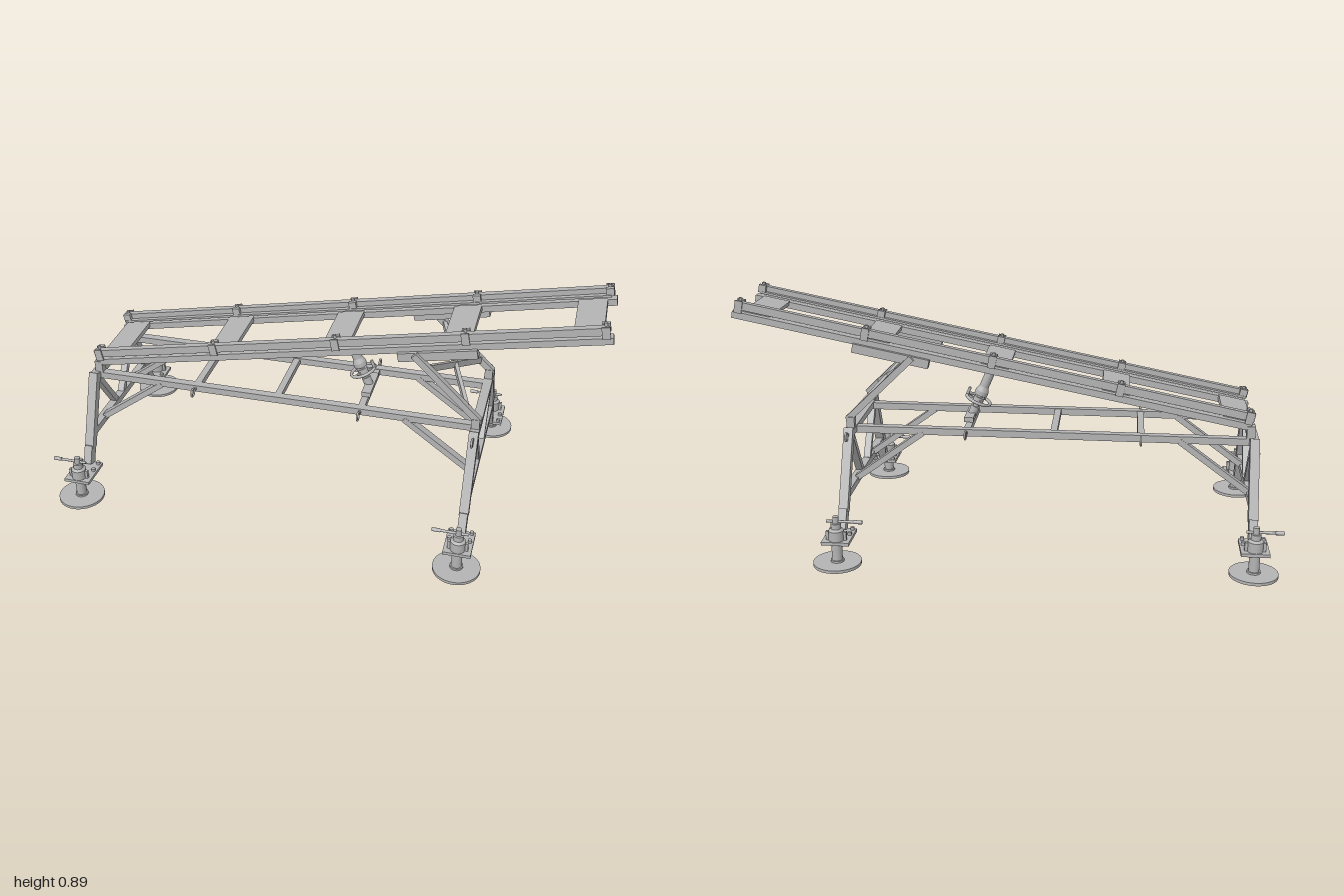
import * as THREE from 'three';

const steel = new THREE.MeshStandardMaterial({ color: 0xb4b4b4 });
steel.name = 'grey steel';

const V = (x, y, z) => new THREE.Vector3(x, y, z);

function add(parent, name, geometry, x = 0, y = 0, z = 0) {
  const mesh = new THREE.Mesh(geometry, steel);
  mesh.name = name;
  mesh.position.set(x, y, z);
  parent.add(mesh);
  return mesh;
}

const box = (parent, name, w, h, d, x, y, z) => add(parent, name, new THREE.BoxGeometry(w, h, d), x, y, z);

// Square bar from a to b: w is its horizontal width, h its other thickness
function beam(parent, name, a, b, w, h = w) {
  const d = b.clone().sub(a);
  const mesh = add(parent, name, new THREE.BoxGeometry(w, h, d.length()));
  d.normalize();
  const side = d.clone().cross(V(0, 1, 0)).normalize();
  const normal = d.clone().cross(side);
  mesh.quaternion.setFromRotationMatrix(new THREE.Matrix4().makeBasis(side, normal, d));
  mesh.position.copy(a).add(b).multiplyScalar(0.5);
  return mesh;
}

// Upright cylinder between two heights
function post(parent, name, r, y0, y1, sides = 24, rTop = r) {
  return add(parent, name, new THREE.CylinderGeometry(rTop, r, y1 - y0, sides), 0, (y0 + y1) / 2, 0);
}

// Levelling foot with screw, sleeve and turning handle; s is the side of the model
function foot(parent, x, z, s) {
  const g = new THREE.Group();
  g.name = 'levellingFoot';
  g.position.set(x, 0, z * s);
  post(g, 'footDisc', 0.086, 0, 0.011, 40);
  post(g, 'footCollar', 0.024, 0.011, 0.018);
  post(g, 'footScrew', 0.019, 0.018, 0.09);
  box(g, 'footPlate', 0.1, 0.012, 0.13, 0, 0.087, -0.036 * s);
  post(g, 'sleeve', 0.0275, 0.093, 0.13);
  post(g, 'sleeveShoulder', 0.0275, 0.13, 0.137, 24, 0.018);
  post(g, 'sleeveNeck', 0.018, 0.137, 0.157);
  post(g, 'screwHead', 0.011, 0.157, 0.182, 12);
  for (const i of [-1, 1]) {
    box(g, 'sleeveLug', 0.014, 0.032, 0.012, i * 0.03, 0.109, 0);
    for (const k of [-0.045, -0.09])
      add(g, 'plateBolt', new THREE.CylinderGeometry(0.008, 0.008, 0.012, 6), i * 0.037, 0.098, k * s);
  }
  add(g, 'turnHandle', new THREE.CylinderGeometry(0.005, 0.005, 0.13, 10), -0.031, 0.163, 0).rotation.z = Math.PI / 2;
  add(g, 'handleGrip', new THREE.CylinderGeometry(0.007, 0.007, 0.03, 10), -0.08, 0.163, 0).rotation.z = Math.PI / 2;
  parent.add(g);
}

// Trestle with two splayed legs; dir points along x towards the middle of the frame
function trestle(parent, x, topZ, footZ, dir) {
  const g = new THREE.Group();
  g.name = 'trestle';
  const legZ = footZ - 0.093;
  const at = y => topZ + (legZ - topZ) * (0.42 - y) / 0.327;
  beam(g, 'topCrossbar', V(x, 0.41, -topZ), V(x, 0.41, topZ), 0.034, 0.024);
  beam(g, 'lowerCrossbar', V(x, 0.203, -at(0.203)), V(x, 0.203, at(0.203)), 0.03, 0.025);
  for (const s of [-1, 1]) {
    beam(g, 'leg', V(x, 0.425, s * topZ), V(x, 0.15, s * at(0.15)), 0.034, 0.032);
    beam(g, 'legExtension', V(x, 0.16, s * (at(0.16) + 0.004)), V(x, 0.093, s * (at(0.093) + 0.004)), 0.03, 0.038);
    beam(g, 'trestleBrace', V(x, 0.405, s * (topZ - 0.005)), V(x, 0.21, s * (topZ - 0.14)), 0.026, 0.022);
    beam(g, 'frameBrace', V(x + dir * 0.01, 0.212, s * 0.143), V(x + dir * 0.265, 0.4, s * 0.143), 0.032, 0.022);
    foot(g, x, footZ, s);
  }
  parent.add(g);
}

// Lifting ring standing in the yz plane
function ring(parent, x, z, s) {
  add(parent, 'liftingRing', new THREE.TorusGeometry(0.015, 0.004, 8, 20), x, 0.408, z * s).rotation.y = Math.PI / 2;
  beam(parent, 'ringStem', V(x, 0.408, (z - 0.06) * s), V(x, 0.408, (z - 0.014) * s), 0.008);
}

export function createModel() {
  const model = new THREE.Group();
  model.name = 'inclinedRailStand';

  trestle(model, -0.907, 0.172, 0.4, 1);
  trestle(model, 0.563, 0.203, 0.457, -1);

  // Level base frame
  for (const s of [-1, 1]) {
    beam(model, 'baseRail', V(-0.92, 0.406, s * 0.143), V(0.575, 0.406, s * 0.143), 0.03, 0.026);
    box(model, 'hingeLug', 0.03, 0.055, 0.03, -0.895, 0.438, s * 0.143);
    box(model, 'strutLug', 0.03, 0.05, 0.028, 0.563, 0.436, s * 0.172);
    ring(model, 0.563, 0.255, s);
    ring(model, -0.503, 0.19, s);
    ring(model, 0.135, 0.19, s);
  }
  for (const x of [-0.503, -0.185, 0.135])
    beam(model, 'baseCrossbar', V(x, 0.406, -0.14), V(x, 0.406, 0.14), 0.025, 0.022);

  // Inclined track, built level along local x and tilted about its low end
  const track = new THREE.Group();
  track.name = 'inclinedTrack';
  track.position.set(-0.895, 0.461, 0);
  track.rotation.z = Math.atan(0.196);
  const len = 1.925;
  for (const s of [-1, 1]) {
    box(track, 'lowerRail', len, 0.025, 0.034, len / 2, 0, s * 0.139);
    box(track, 'upperRail', len - 0.01, 0.029, 0.024, len / 2 - 0.008, 0.038, s * 0.146);
    box(track, 'railFlange', len - 0.02, 0.008, 0.02, len / 2 - 0.008, 0.028, s * 0.127);
    for (let i = 0; i < 5; i++) {
      const x = 0.015 + i * 0.472;
      box(track, 'railClamp', 0.028, 0.046, 0.006, x, 0.034, s * 0.16);
      box(track, 'clampPad', 0.028, 0.03, 0.016, x, 0.042, s * 0.127);
      add(track, 'clampBolt', new THREE.CylinderGeometry(0.006, 0.006, 0.014, 8), x, 0.058, s * 0.14);
    }
    box(track, 'strutPlate', 0.285, 0.033, 0.034, 1.325, -0.024, s * 0.152);
  }
  for (let i = 0; i < 5; i++)
    box(track, 'crossPlate', 0.102, 0.016, 0.262, 0.052 + i * 0.4475, 0.007, 0);
  model.add(track);

  // Rear struts with crossed bracing
  const strutAt = y => 0.33 + (0.69 - y) * 1.02;
  for (const s of [-1, 1]) {
    beam(model, 'supportStrut', V(strutAt(0.69), 0.69, s * 0.172), V(strutAt(0.45), 0.45, s * 0.172), 0.024, 0.024);
    beam(model, 'crossBrace', V(strutAt(0.638), 0.638, s * 0.165), V(strutAt(0.498), 0.498, -s * 0.165), 0.014, 0.024);
  }

  // Elevating screw with handwheel, built upright and leaned towards the low end
  const jack = new THREE.Group();
  jack.name = 'elevatingScrew';
  jack.position.set(0.14, 0.415, 0);
  jack.rotation.z = Math.atan2(0.09, 0.215);
  post(jack, 'screwBase', 0.017, 0, 0.05);
  post(jack, 'screwRod', 0.011, 0.04, 0.15);
  post(jack, 'wheelHub', 0.02, 0.065, 0.09);
  post(jack, 'screwNut', 0.025, 0.1, 0.118, 24);
  post(jack, 'nutCone', 0.025, 0.118, 0.135, 24, 0.018);
  post(jack, 'screwTube', 0.018, 0.13, 0.25);
  add(jack, 'handwheelRim', new THREE.TorusGeometry(0.047, 0.006, 10, 36), 0, 0.078, 0).rotation.x = Math.PI / 2;
  for (let i = 0; i < 3; i++) {
    const a = i * Math.PI * 2 / 3;
    beam(jack, 'wheelSpoke', V(0, 0.078, 0), V(Math.cos(a) * 0.046, 0.078, Math.sin(a) * 0.046), 0.009, 0.007);
  }
  add(jack, 'wheelKnob', new THREE.CylinderGeometry(0.006, 0.006, 0.03, 10), 0.047, 0.095, 0);
  model.add(jack);
  box(model, 'screwMount', 0.035, 0.018, 0.146, 0.138, 0.428, 0);

  return model;
}
